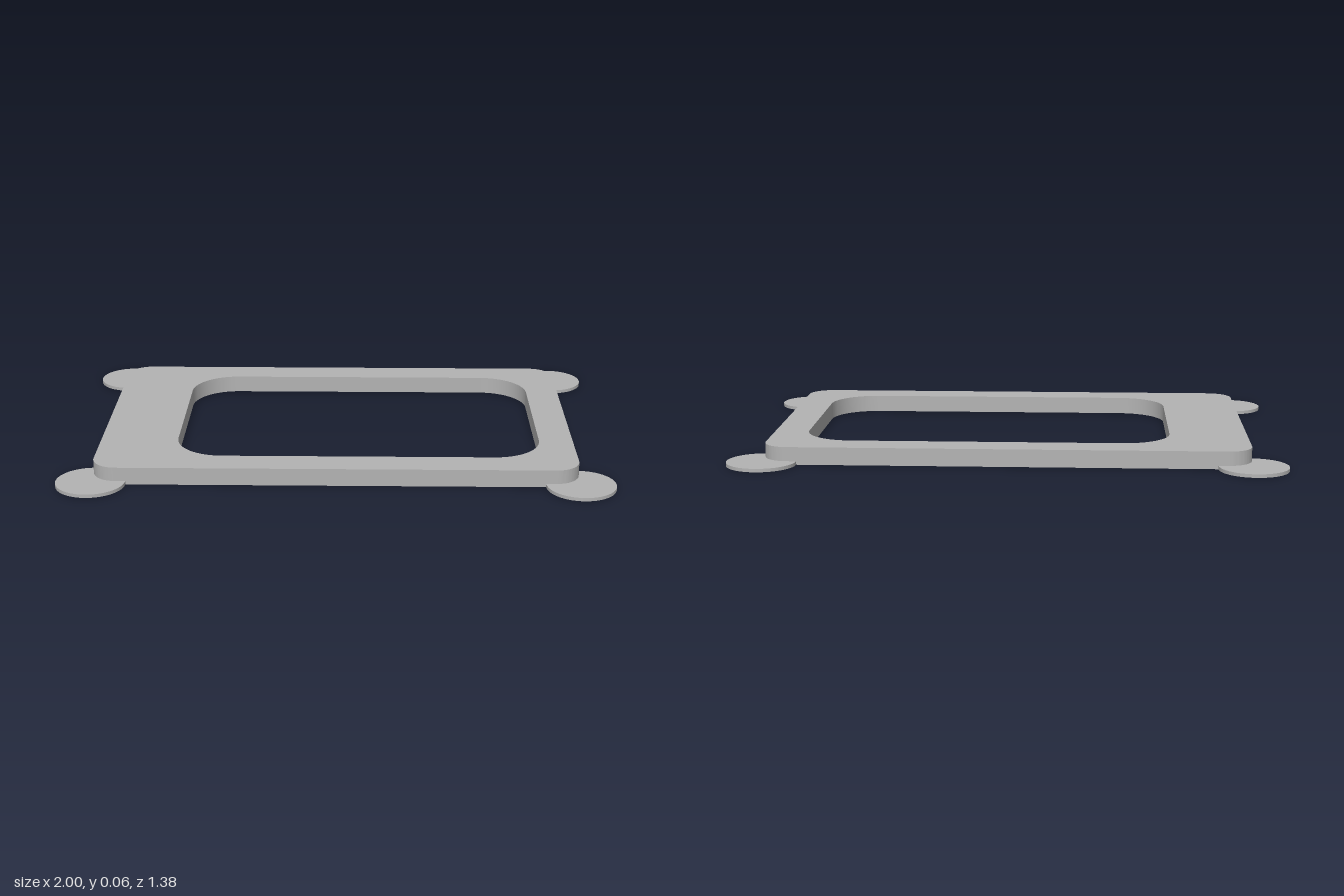
import * as THREE from 'three';
import { toCreasedNormals } from 'three/addons/utils/BufferGeometryUtils.js';

// Traces a rounded rectangle onto a Shape or Path
function roundedRect(path, x0, x1, y0, y1, r) {
  path.moveTo(x0 + r, y0);
  path.lineTo(x1 - r, y0);
  path.absarc(x1 - r, y0 + r, r, -Math.PI / 2, 0);
  path.lineTo(x1, y1 - r);
  path.absarc(x1 - r, y1 - r, r, 0, Math.PI / 2);
  path.lineTo(x0 + r, y1);
  path.absarc(x0 + r, y1 - r, r, Math.PI / 2, Math.PI);
  path.lineTo(x0, y0 + r);
  path.absarc(x0 + r, y0 + r, r, Math.PI, Math.PI * 1.5);
  return path;
}

export function createModel() {
  const model = new THREE.Group();
  model.name = 'bezelFrame';

  const grey = new THREE.MeshStandardMaterial({ color: 0xb3b3b3 });
  grey.name = 'grey';

  const halfX = 0.875, halfZ = 0.5625, height = 0.064;

  // Frame plate with an off-centre rounded window
  const outline = roundedRect(new THREE.Shape(), -halfX, halfX, -halfZ, halfZ, 0.09);
  outline.holes.push(roundedRect(new THREE.Path(), -0.59, 0.75, -0.44, 0.44, 0.175));
  const plate = new THREE.ExtrudeGeometry(outline, {
    depth: height, bevelEnabled: false, curveSegments: 16,
  });
  plate.rotateX(-Math.PI / 2);
  const frame = new THREE.Mesh(toCreasedNormals(plate, Math.PI / 6), grey);
  frame.name = 'frame';
  model.add(frame);

  // Thin round pads under the four corners
  const padHeight = 0.0125;
  const padGeometry = new THREE.CylinderGeometry(0.125, 0.125, padHeight, 64);
  for (const [sx, side] of [[1, 'Left'], [-1, 'Right']]) {
    for (const [sz, end] of [[1, 'front'], [-1, 'back']]) {
      const pad = new THREE.Mesh(padGeometry, grey);
      pad.name = `${end}${side}Pad`;
      pad.position.set(sx * halfX, padHeight / 2, sz * halfZ);
      model.add(pad);
    }
  }

  return model;
}
